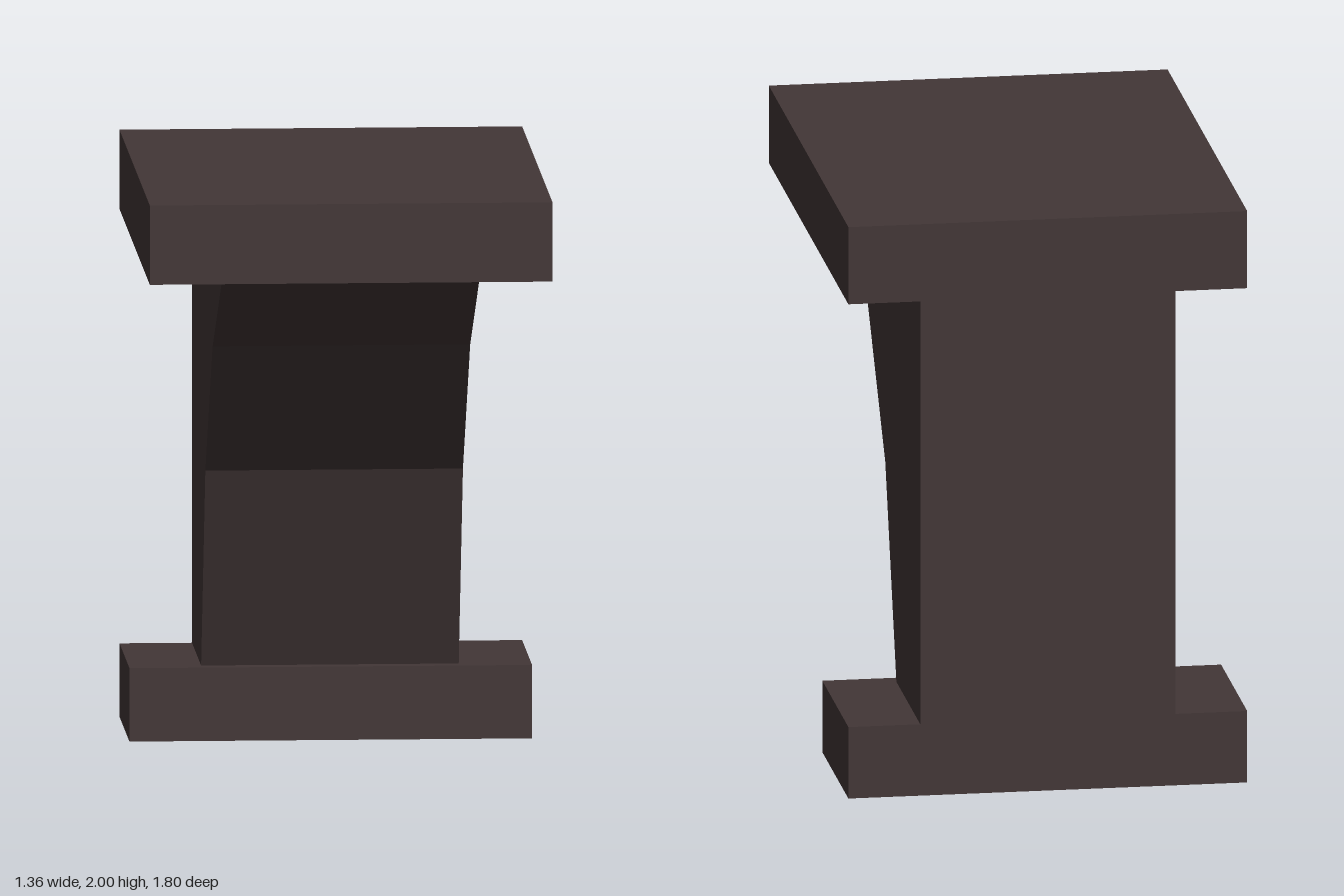
import * as THREE from 'three';

const BACK = -0.9;

export function createModel() {
  const group = new THREE.Group();
  const darkBrown = new THREE.MeshStandardMaterial({ color: 0x423636 });
  darkBrown.name = 'darkBrown';

  const add = (name, geometry) => {
    const mesh = new THREE.Mesh(geometry, darkBrown);
    mesh.name = name;
    group.add(mesh);
  };

  // Slab whose back is flush with the wall plane
  const slab = (name, front, bottom, top) => {
    const geometry = new THREE.BoxGeometry(1.36, top - bottom, front - BACK);
    geometry.translate(0, (top + bottom) / 2, (front + BACK) / 2);
    add(name, geometry);
  };
  slab('topSlab', 0.9, 1.73, 2);
  slab('footSlab', -0.31, 0, 0.25);

  // Bracket body: side profile in (z, y), extruded across the width
  const profile = [
    [BACK, 0.25], [-0.36, 0.25], [-0.11, 0.95],
    [0.32, 1.435], [0.86, 1.73], [BACK, 1.73],
  ].map(([z, y]) => new THREE.Vector2(z, y));
  const width = 0.87;
  const body = new THREE.ExtrudeGeometry(new THREE.Shape(profile), { depth: width, bevelEnabled: false });
  body.translate(0, 0, -width / 2);
  body.rotateY(-Math.PI / 2);
  add('bracketBody', body);

  return group;
}
